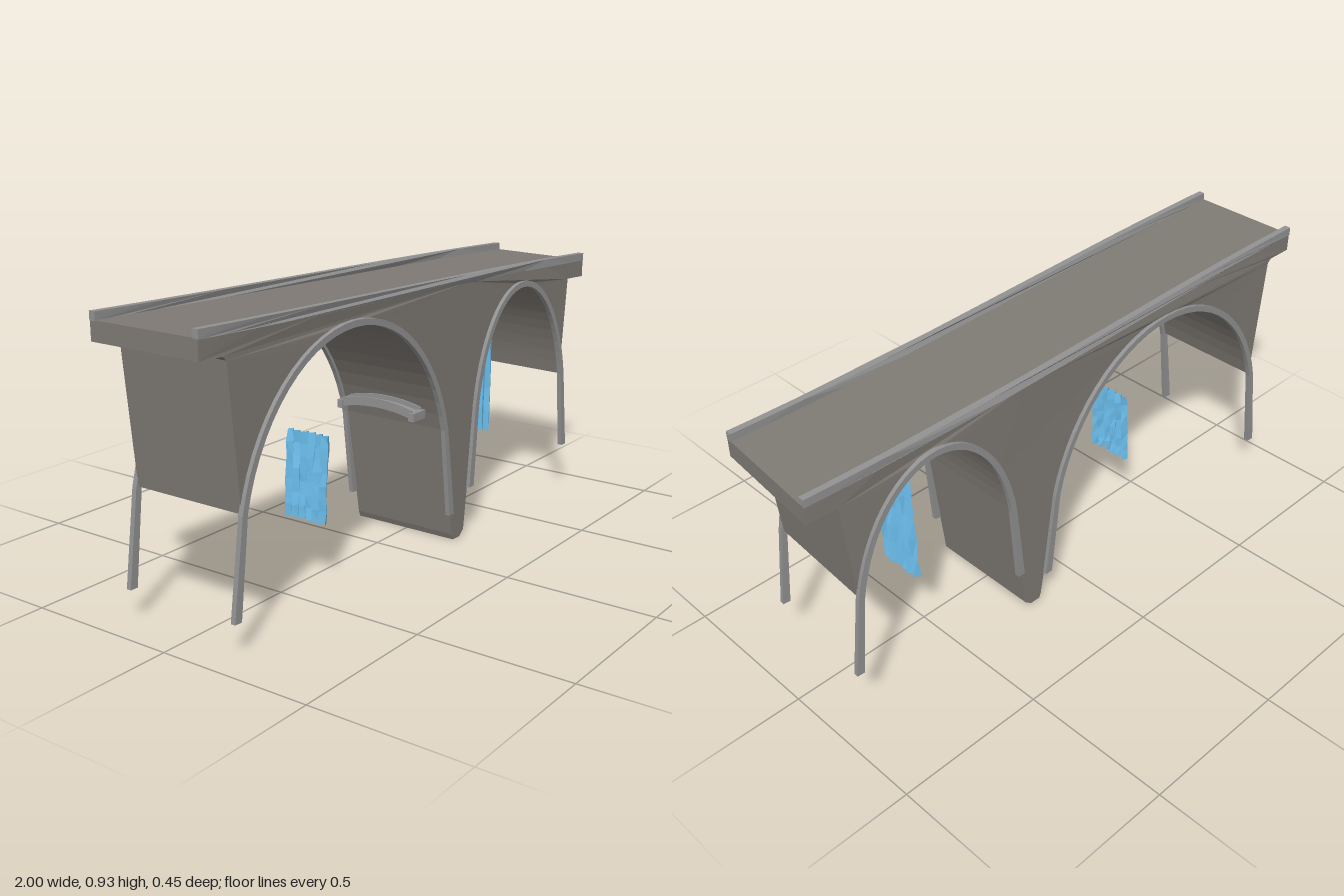
import * as THREE from 'three';

const stone = new THREE.MeshStandardMaterial({ color: 0x7f7a74 });
const trim = new THREE.MeshStandardMaterial({ color: 0x929292 });
const water = new THREE.MeshStandardMaterial({ color: 0x6cbfee, side: THREE.DoubleSide, flatShading: true });

const LEFT_END = -1, RIGHT_END = 0.983;
const deckY = x => 0.8725 - 0.0325 * x;          // road surface slopes down to +x
const bend = x => -0.006 + 0.004 * x + 0.01 * x * x + 0.022 * x ** 3;

// Two arches: ellipse heads on straight, slightly splayed legs
const arches = [
  { name: 'wideArch', cx: -0.38, cy: 0.25, a: 0.49, b: 0.577, spring: 0.4, foot: 0.1, splay: 0.035 },
  { name: 'narrowArch', cx: 0.57, cy: 0.32, a: 0.28, b: 0.48, spring: 0.44, foot: 0.165, splay: 0.024 },
];

// Points of an arch head from its left to its right spring, grown by g
function archHead(arch, g, n = 28) {
  const a = arch.a + g, b = arch.b + g;
  const t0 = Math.asin((arch.spring - arch.cy) / b);
  const pts = [];
  for (let i = 0; i <= n; i++) {
    const t = Math.PI - t0 - (Math.PI - 2 * t0) * i / n;
    pts.push([arch.cx + a * Math.cos(t), arch.cy + b * Math.sin(t)]);
  }
  return pts;
}

// Arch head plus its feet
function archWithLegs(arch, g, extra) {
  const head = archHead(arch, g);
  const first = head[0], last = head[head.length - 1];
  const out = arch.splay + extra;
  return [[first[0] - out, arch.foot], ...head, [last[0] + out, arch.foot]];
}

function line(x0, x1, f, n = 24) {
  return Array.from({ length: n + 1 }, (_, i) => {
    const x = x0 + (x1 - x0) * i / n;
    return [x, f(x)];
  });
}

// Follow the gentle bend of the bridge in plan
function warp(geo) {
  const p = geo.attributes.position;
  for (let i = 0; i < p.count; i++) {
    const x = p.getX(i), w = p.getZ(i);
    p.setX(i, x - 0.09 * Math.max(0, x) ** 2 * w);
    p.setZ(i, w + bend(x));
  }
  geo.computeVertexNormals();
  return geo;
}

// Extrude an outline across the bridge from w0 to w1
function slab(points, w0, w1, material, name) {
  const shape = new THREE.Shape(points.map(([x, y]) => new THREE.Vector2(x, y)));
  const geo = new THREE.ExtrudeGeometry(shape, { depth: w1 - w0, bevelEnabled: false });
  geo.translate(0, 0, w0);
  const mesh = new THREE.Mesh(warp(geo), material);
  mesh.name = name;
  return mesh;
}

// Pleated sheet of falling water
function waterfall(name, xBottom, xTop, yBottom, yTop, z, seed) {
  const cols = 12, rows = 7, width = 0.16;
  const rand = () => (seed = (seed * 16807) % 2147483647) / 2147483647;
  const geo = new THREE.PlaneGeometry(width, yTop - yBottom, cols, rows);
  geo.rotateY(Math.PI / 2);
  const p = geo.attributes.position;
  for (let i = 0; i < p.count; i++) {
    const col = i % (cols + 1);
    const t = p.getY(i) / (yTop - yBottom) + 0.5;
    const pleat = (col % 2 ? 0.009 : -0.009) + (rand() - 0.5) * 0.012;
    p.setX(i, THREE.MathUtils.lerp(xBottom, xTop, t) + pleat);
    if (col > 0 && col < cols) p.setZ(i, p.getZ(i) + (rand() - 0.5) * 0.005);
  }
  geo.translate(0, (yTop + yBottom) / 2, z);
  geo.computeVertexNormals();
  const mesh = new THREE.Mesh(geo, water);
  mesh.name = name;
  return mesh;
}

// Small humped footbridge running along z
function footbridge() {
  const group = new THREE.Group();
  group.name = 'footbridge';
  const half = 0.14, rise = 0.018;
  const hump = z => rise * (1 - (z / half) ** 2);
  const strip = (name, x, width, y0, y1) => {
    const pts = [...line(-half, half, z => y0 + hump(z), 12), ...line(half, -half, z => y1 + hump(z), 12)];
    const shape = new THREE.Shape(pts.map(([z, y]) => new THREE.Vector2(z, y)));
    const geo = new THREE.ExtrudeGeometry(shape, { depth: width, bevelEnabled: false });
    geo.translate(0, 0, -width / 2);
    geo.rotateY(-Math.PI / 2);
    const mesh = new THREE.Mesh(geo, trim);
    mesh.name = name;
    mesh.position.x = x;
    group.add(mesh);
  };
  strip('footbridgeDeck', 0, 0.05, 0.46, 0.474);
  for (const s of [-1, 1]) {
    strip('footbridgeRail', s * 0.025, 0.005, 0.46, 0.489);
    const block = new THREE.Mesh(new THREE.BoxGeometry(0.066, 0.027, 0.022), trim);
    block.name = 'footbridgeEndBlock';
    block.position.set(0, 0.468, s * half);
    group.add(block);
  }
  group.position.set(-0.002, 0, 0.015);
  return group;
}

export function createModel() {
  const model = new THREE.Group();
  model.name = 'bridge';

  // Walls, piers and deck as one side profile
  const under = x => deckY(x) - 0.06;
  const body = [
    [LEFT_END, under(LEFT_END)],
    [-0.915, under(-0.915)], [-0.902, under(-0.9) - 0.012],
    ...archHead(arches[0], 0.01),
    [0.165, 0.02], [0.172, 0], [0.21, 0], [0.234, 0.02],
    ...archHead(arches[1], 0.01),
    [0.885, under(0.885)],
    [RIGHT_END, under(RIGHT_END)],
    ...line(RIGHT_END, LEFT_END, deckY),
  ];
  model.add(slab(body, -0.194, 0.194, stone, 'bridgeBody'));

  for (const side of [-1, 1]) {
    const across = (a, b) => side > 0 ? [a, b] : [-b, -a];

    // Kerb rails along the road
    const rail = [
      ...line(LEFT_END, RIGHT_END, x => deckY(x) - 0.003),
      ...line(RIGHT_END, LEFT_END, x => deckY(x) + 0.024),
    ];
    model.add(slab(rail, ...across(0.175, 0.196), trim, 'kerbRail'));

    // Arch ribs with free-standing legs
    for (const arch of arches) {
      const ring = [...archWithLegs(arch, 0, 0), ...archWithLegs(arch, 0.02, 0.006).reverse()];
      model.add(slab(ring, ...across(0.191, 0.207), trim, arch.name + 'Rib'));
    }
  }

  model.add(waterfall('lowWaterfall', -0.383, -0.362, 0.2, 0.475, 0.01, 17));
  model.add(waterfall('tallWaterfall', 0.572, 0.584, 0.262, 0.8, 0.005, 91));
  model.add(footbridge());
  return model;
}
